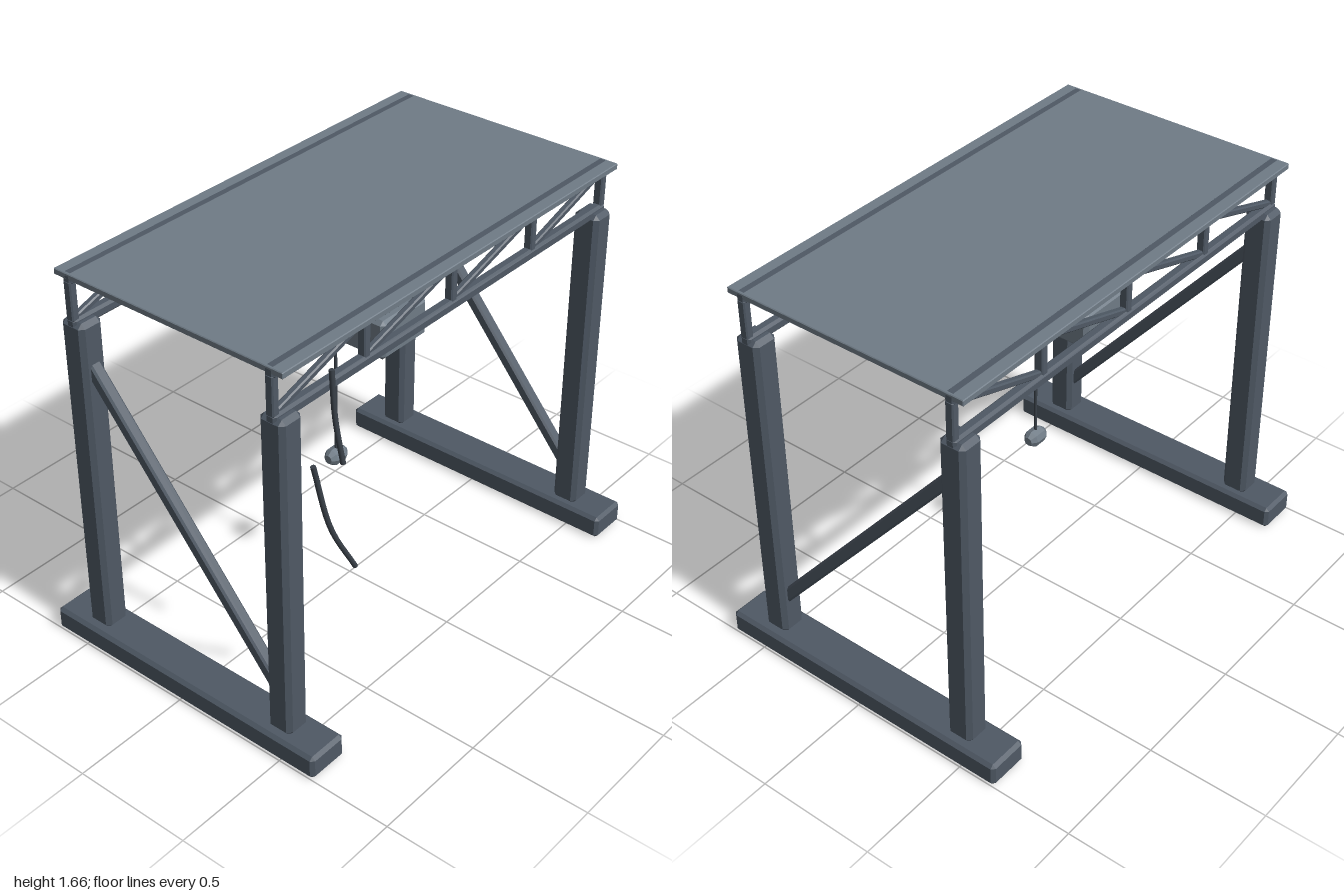
import * as THREE from 'three';
import { ConvexGeometry } from 'three/addons/geometries/ConvexGeometry.js';

const flat = (name, color) => {
  const m = new THREE.MeshStandardMaterial({ color });
  m.name = name;
  return m;
};

// Box with chamfered edges: each corner is cut into three points
function chamferBox(w, h, d, c) {
  const pts = [];
  for (const x of [-1, 1]) for (const y of [-1, 1]) for (const z of [-1, 1]) {
    const a = x * w / 2, b = y * h / 2, e = z * d / 2;
    pts.push(
      new THREE.Vector3(a, b - y * c, e - z * c),
      new THREE.Vector3(a - x * c, b, e - z * c),
      new THREE.Vector3(a - x * c, b - y * c, e));
  }
  return new ConvexGeometry(pts);
}

export function createModel() {
  const steel = flat('darkSteel', 0x4f5965);
  const panel = flat('greyPanel', 0x6f7b86);
  const rubber = flat('blackCable', 0x3a4149);
  const root = new THREE.Group();
  root.name = 'gantryHoist';

  const add = (name, geo, mat, x = 0, y = 0, z = 0, parent = root) => {
    const m = new THREE.Mesh(geo, mat);
    m.name = name;
    m.position.set(x, y, z);
    parent.add(m);
    return m;
  };

  // Square bar running between two points
  const bar = (name, a, b, size, c, parent) => {
    const dir = b.clone().sub(a);
    const m = add(name, chamferBox(size, dir.length(), size, c), steel, 0, 0, 0, parent);
    m.position.copy(a).add(b).multiplyScalar(0.5);
    m.quaternion.setFromUnitVectors(new THREE.Vector3(0, 1, 0), dir.normalize());
    return m;
  };
  const V = (x, y, z) => new THREE.Vector3(x, y, z);

  // Side frames: foot, two legs and a diagonal brace
  for (const s of [1, -1]) {
    const frame = new THREE.Group();
    frame.name = s > 0 ? 'leftFrame' : 'rightFrame';
    root.add(frame);
    add('foot', chamferBox(0.175, 0.1, 1.32, 0.014), steel, s * 0.9125, 0.05, 0, frame);
    for (const z of [0.464, -0.464])
      add(z > 0 ? 'frontLeg' : 'backLeg', chamferBox(0.106, 1.37, 0.11, 0.018), steel, s * 0.908, 0.775, z, frame);
    bar('brace', V(s * 0.908, 0.235, 0.447), V(s * 0.908, 1.295, -0.447), 0.05, 0.008, frame);
  }

  // Trusses along the front and back
  const nodes = [-0.945, -0.483, 0, 0.483, 0.945];
  for (const z of [0.464, -0.464]) {
    const truss = new THREE.Group();
    truss.name = z > 0 ? 'frontTruss' : 'backTruss';
    root.add(truss);
    add('lowerChord', chamferBox(1.92, 0.045, 0.045, 0.01), steel, 0, 1.452, z, truss);
    add('upperChord', chamferBox(1.92, 0.045, 0.045, 0.01), steel, 0, 1.633, z, truss);
    nodes.forEach((x, i) => {
      add('post', chamferBox(0.032, 0.16, 0.035, 0.005), steel, x, 1.543, z, truss);
      if (i < 4) bar('diagonal', V(x, 1.468, z), V(nodes[i + 1], 1.615, z), 0.026, 0.005, truss);
    });
  }

  // Roof deck
  add('roofDeck', chamferBox(1.92, 0.025, 1.05, 0.003), panel, 0, 1.6425, 0);

  // Hoist housing with vent, lifting cable and weight
  const hoist = new THREE.Group();
  hoist.name = 'hoist';
  hoist.position.x = -0.083;
  root.add(hoist);
  add('housing', chamferBox(0.255, 0.16, 0.66, 0.016), panel, 0, 1.33, 0, hoist);
  add('vent', new THREE.BoxGeometry(0.165, 0.02, 0.008), steel, 0, 1.33, 0.332, hoist);
  add('liftCable', new THREE.CylinderGeometry(0.006, 0.006, 0.62, 8), rubber, 0, 0.95, 0, hoist);
  const profile = [[0, -0.048], [0.018, -0.048], [0.035, -0.027], [0.035, 0.027], [0.018, 0.048], [0, 0.048]]
    .map(p => new THREE.Vector2(...p));
  const weightGeo = new THREE.LatheGeometry(profile, 8).toNonIndexed();
  weightGeo.computeVertexNormals();
  add('weight', weightGeo, panel, 0, 0.632, 0, hoist).rotation.z = Math.PI / 2;

  // Loose cables at the front right
  const loose = [
    [V(-0.708, 1.54, 0.512), V(-0.703, 1.35, 0.522), V(-0.69, 1.17, 0.545)],
    [V(-0.868, 1.265, 0.566), V(-0.81, 0.99, 0.59), V(-0.71, 0.78, 0.615)],
  ];
  for (const pts of loose) {
    const curve = new THREE.CatmullRomCurve3(pts);
    add('looseCable', new THREE.TubeGeometry(curve, 12, 0.01, 8), rubber);
    // Closed cable ends
    [0, 1].forEach(t => {
      const out = curve.getTangent(t).multiplyScalar(t ? 1 : -1);
      const cap = add('cableEnd', new THREE.CircleGeometry(0.01, 8), rubber, ...curve.getPoint(t).toArray());
      cap.quaternion.setFromUnitVectors(V(0, 0, 1), out);
    });
  }

  return root;
}
